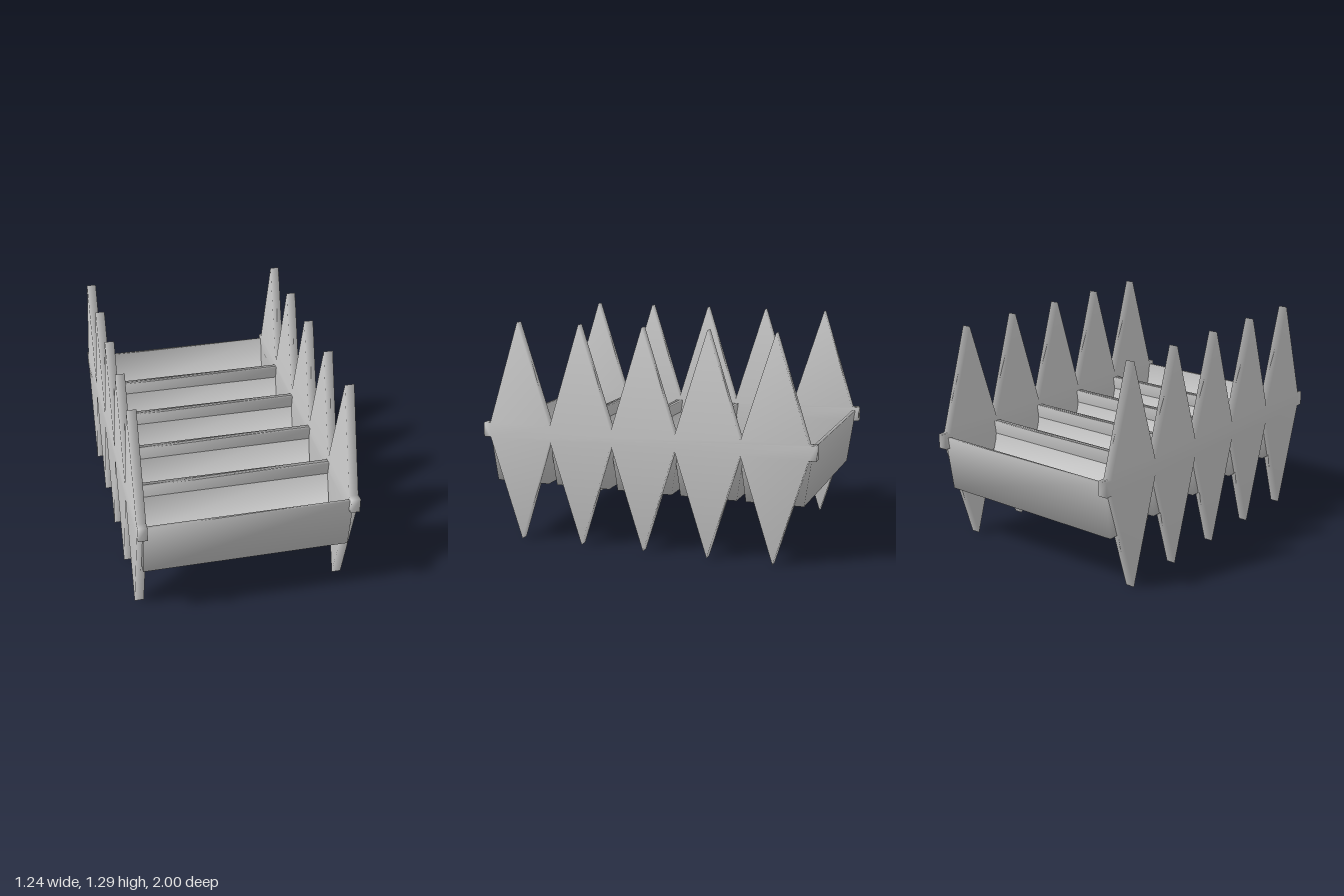
import * as THREE from 'three';
import { mergeVertices } from 'three/addons/utils/BufferGeometryUtils.js';

const COUNT = 5, STEP = 0.383;
const material = new THREE.MeshStandardMaterial({ color: 0xcccccc });
const centers = Array.from({ length: COUNT }, (_, i) => ((COUNT - 1) / 2 - i) * STEP);

// Spiked side plate: a rail with a row of long diamonds, drawn in (z, y)
function plateGeometry(thickness) {
  const half = STEP / 2, railTop = 0.69, railBottom = 0.605;
  const pts = [[1, railBottom], [1, railTop]];
  centers.forEach((c) => pts.push([c + half, railTop], [c, 1.29]));
  pts.push([centers[COUNT - 1] - half, railTop], [-1, railTop], [-1, railBottom]);
  [...centers].reverse().forEach((c) => pts.push([c - half, railBottom], [c, 0]));
  pts.push([centers[0] + half, railBottom]);

  const shape = new THREE.Shape(pts.map(([z, y]) => new THREE.Vector2(-z, y)));
  const geo = new THREE.ExtrudeGeometry(shape, { depth: thickness, bevelEnabled: false });
  geo.translate(0, 0, -thickness / 2);
  geo.rotateY(Math.PI / 2);
  // share corners so that the shading runs softly over the edges
  geo.deleteAttribute('normal');
  geo.deleteAttribute('uv');
  const smooth = mergeVertices(geo, 1e-4);
  smooth.computeVertexNormals();
  return smooth;
}

// Open-topped trough with flared walls, lofted through four rectangles
function troughGeometry() {
  const rings = [ // half length x, half width z, height y
    [0.59, 0.165, 0.34], // outer bottom
    [0.59, 0.213, 0.67], // outer rim
    [0.575, 0.193, 0.67], // inner rim
    [0.575, 0.147, 0.36], // inner floor
  ];
  const corners = [[1, 1], [1, -1], [-1, -1], [-1, 1]];
  const positions = [], index = [];
  const quad = (a, b, c, d) => index.push(a, b, c, a, c, d);
  rings.forEach(([x, z, y]) => corners.forEach(([sx, sz]) => positions.push(sx * x, y, sz * z)));
  for (let r = 0; r < 3; r++) {
    for (let j = 0; j < 4; j++) {
      const k = (j + 1) % 4;
      quad(r * 4 + j, r * 4 + k, r * 4 + 4 + k, r * 4 + 4 + j);
    }
  }
  quad(3, 2, 1, 0);
  quad(12, 13, 14, 15);
  const geo = new THREE.BufferGeometry();
  geo.setAttribute('position', new THREE.Float32BufferAttribute(positions, 3));
  geo.setIndex(index);
  geo.computeVertexNormals();
  return geo;
}

export function createModel() {
  const model = new THREE.Group();
  model.name = 'spikedTroughRack';

  // Side plates
  const plate = plateGeometry(0.054);
  for (const side of [1, -1]) {
    const mesh = new THREE.Mesh(plate, material);
    mesh.name = side > 0 ? 'leftSpikedPlate' : 'rightSpikedPlate';
    mesh.position.x = side * 0.595;
    model.add(mesh);
  }

  // Row of troughs, their flared rims crossing between neighbours
  const trough = troughGeometry();
  centers.forEach((z, i) => {
    const mesh = new THREE.Mesh(trough, material);
    mesh.name = `trough${i + 1}`;
    mesh.position.z = z;
    model.add(mesh);
  });
  return model;
}
